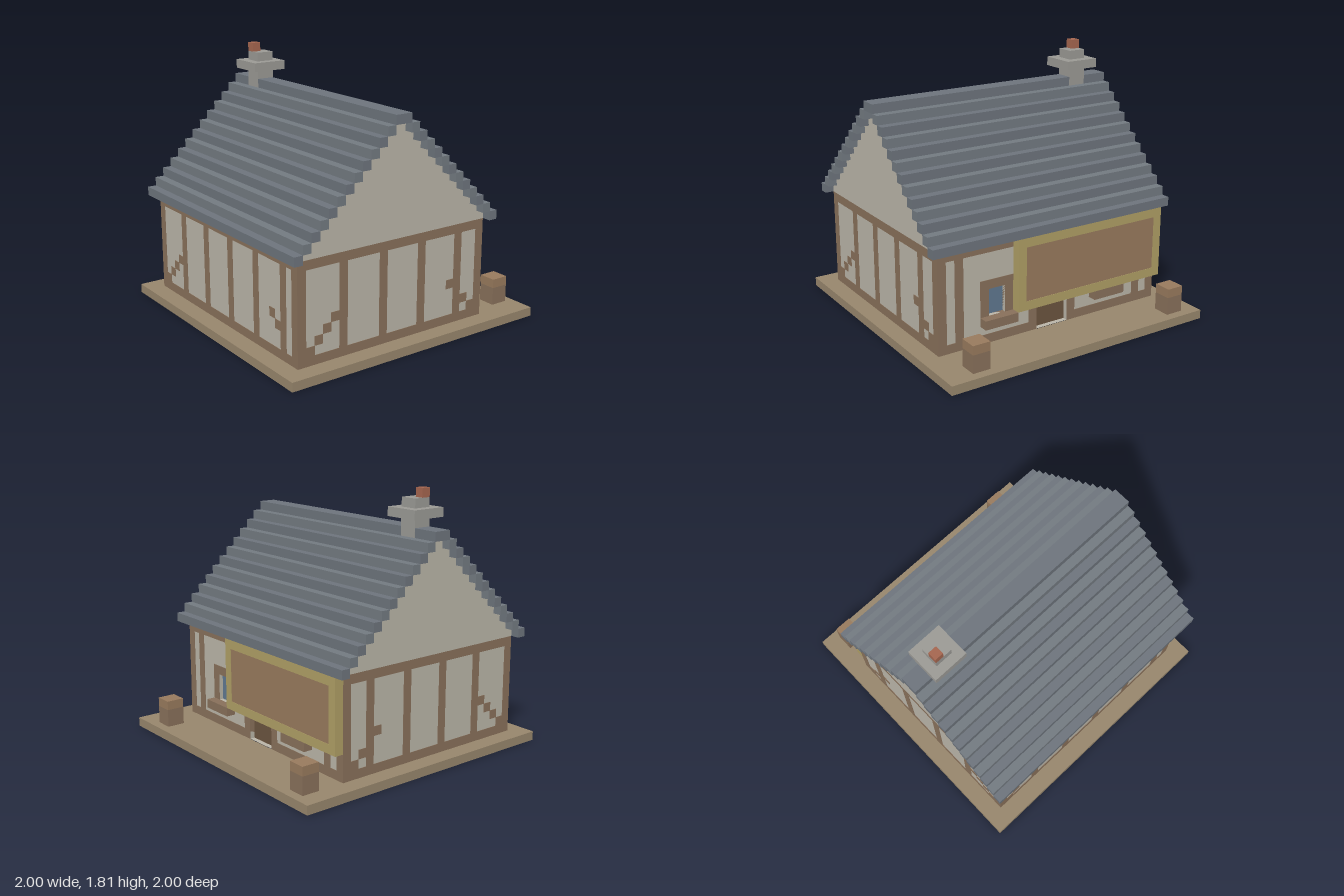
import * as THREE from 'three';

const V = 1 / 16; // one block
const mat = (color, side = THREE.FrontSide) => new THREE.MeshStandardMaterial({ color, side, flatShading: true });

export function createModel() {
  const house = new THREE.Group();
  house.name = 'house';
  const earth = mat(0x97866c, THREE.DoubleSide);
  const plaster = mat(0xbab5a8), timber = mat(0x88705a), dark = mat(0x6b543f);
  const slate = [mat(0x6d747c), mat(0x737a81)];
  const stone = mat(0x9b9a95), clay = mat(0xa5664f), gold = mat(0xaf9f65);
  const board = mat(0x987a5d), glass = mat(0x5f7890);

  const part = (name) => {
    const g = new THREE.Group();
    g.name = name;
    house.add(g);
    return g;
  };
  // Box between two corners, given in blocks
  const box = (parent, name, m, x0, x1, y0, y1, z0, z1) => {
    const mesh = new THREE.Mesh(new THREE.BoxGeometry((x1 - x0) * V, (y1 - y0) * V, (z1 - z0) * V), m);
    mesh.position.set((x0 + x1) * V / 2, (y0 + y1) * V / 2, (z0 + z1) * V / 2);
    mesh.name = name;
    parent.add(mesh);
  };
  const rect = (C, x0, x1, y0, y1) => new C([[x0, y0], [x1, y0], [x1, y1], [x0, y1]]
    .map(([x, y]) => new THREE.Vector2(x * V, y * V)));

  // Ground slab, open underneath, with the room floor inside the walls
  const ground = part('ground');
  const yard = rect(THREE.Shape, -16, 16, -16, 16);
  yard.holes.push(rect(THREE.Path, -14, 14, -14, 10));
  for (const [name, shape] of [['yard', yard], ['floor', rect(THREE.Shape, -13, 13, -13, 9)]]) {
    const mesh = new THREE.Mesh(new THREE.ShapeGeometry(shape).rotateX(-Math.PI / 2), earth);
    mesh.position.y = V;
    mesh.name = name;
    ground.add(mesh);
  }
  for (let i = 0; i < 4; i++) {
    const geo = new THREE.PlaneGeometry(2, V).translate(0, V / 2, 1).rotateY(i * Math.PI / 2);
    const mesh = new THREE.Mesh(geo, earth);
    mesh.name = 'slabEdge';
    ground.add(mesh);
  }

  // Corner posts
  const corners = part('cornerPosts');
  for (const x of [-14, 13]) for (const z of [-10, 13]) box(corners, 'cornerPost', timber, x, x + 1, 1, 12, z, z + 1);

  // Front wall: plaster, beams, posts and stepped braces
  const front = part('frontWall');
  box(front, 'plaster', plaster, -13, 13, 2, 11, 13.05, 13.95);
  for (const y of [1, 11]) box(front, 'beam', timber, -13, 13, y, y + 1, 13, 14);
  for (const x of [-9, -4, 1, 6, 11]) box(front, 'post', timber, x, x + 1, 2, 11, 13, 14);
  for (const [x, y] of [[-13, 2], [-12, 3], [-11, 4], [-10, 5], [9, 5], [10, 4]])
    box(front, 'brace', timber, x, x + 1, y, y + 1, 13, 14);

  // Side walls with stepped gables
  for (const s of [-1, 1]) {
    const wall = part(s > 0 ? 'leftWall' : 'rightWall');
    const x = s > 0 ? 13 : -14;
    box(wall, 'plaster', plaster, x + 0.05, x + 0.95, 2, 11, -9, 13);
    for (const y of [1, 11]) box(wall, 'beam', timber, x, x + 1, y, y + 1, -9, 13);
    for (const z of [8, 3, -2, -7]) box(wall, 'post', timber, x, x + 1, 2, 11, z, z + 1);
    for (const [z, y] of [[12, 2], [11, 3], [10, 4], [9, 5], [-6, 5], [-8, 3], [-9, 2]])
      box(wall, 'brace', timber, x, x + 1, y, y + 1, z, z + 1);
    for (let i = 0; i < 12; i++) box(wall, 'gable', plaster, x, x + 1, 12 + i, 13 + i, -10 + i, 14 - i);
  }

  // Back wall with a door and two windows
  const back = part('backWall');
  const sheet = rect(THREE.Shape, -13, 13, 1, 12);
  sheet.holes.push(rect(THREE.Path, -2, 2, 1.01, 9));
  for (const x of [-8, 6]) sheet.holes.push(rect(THREE.Path, x, x + 2, 4, 7));
  const sheetMesh = new THREE.Mesh(new THREE.ExtrudeGeometry(sheet, { depth: 0.9 * V, bevelEnabled: false }), plaster);
  sheetMesh.position.z = -9.95 * V;
  sheetMesh.name = 'plaster';
  back.add(sheetMesh);
  box(back, 'beam', timber, -13, 13, 11, 12, -10, -9);
  for (const s of [-1, 1]) {
    const span = (name, m, a, b, y0, y1, z0, z1) =>
      box(back, name, m, Math.min(s * a, s * b), Math.max(s * a, s * b), y0, y1, z0, z1);
    span('beam', timber, 2, 13, 1, 2, -10, -9);
    span('doorPost', timber, 2, 3, 2, 11, -10, -9);
    span('post', timber, 11, 12, 2, 11, -10, -9);
    span('windowFrame', timber, 5, 6, 4, 8, -10, -9);
    span('windowFrame', timber, 8, 9, 4, 8, -10, -9);
    span('windowFrame', timber, 6, 8, 7, 8, -10, -9);
    span('windowSill', timber, 5, 9, 3, 4, -11, -9);
    span('windowGlass', glass, 6, 8, 4, 7, -9.5, -9.1);
  }
  box(back, 'doorLintel', timber, -2, 2, 9, 10, -10, -9);
  box(back, 'door', dark, -2, 2, 1, 9, -9.4, -9);

  // Signboard above the door, left blank
  const sign = part('signboard');
  box(sign, 'panel', board, -13, 4, 5, 11, -10.96, -10);
  for (const y of [4, 11]) box(sign, 'border', gold, -14, 5, y, y + 1, -11, -10);
  for (const x of [-14, 4]) box(sign, 'border', gold, x, x + 1, 5, 11, -11, -10);

  // Stepped roof, one course per block of height
  const roof = part('roof');
  for (let i = 0; i < 13; i++) {
    box(roof, 'frontCourse', slate[i % 2], -15, 15, 12 + i, 13 + i, 14 - i, 15 - i);
    box(roof, 'backCourse', slate[i % 2], -15, 15, 12 + i, 13 + i, -11 + i, -10 + i);
  }

  // Chimney, running down to the floor
  const chimney = part('chimney');
  box(chimney, 'stack', stone, -12.03, -9.97, 1.02, 26, 0.97, 3.03);
  box(chimney, 'cap', stone, -13, -9, 26, 27, 0, 4);
  box(chimney, 'top', stone, -12, -10, 27, 28, 1, 3);
  box(chimney, 'pot', clay, -12, -11, 28, 29, 2, 3);

  // Crates in the back yard
  for (const x of [-14, 11]) {
    const crate = part('crate');
    box(crate, 'body', timber, x, x + 2, 1.02, 3, -15, -13);
    box(crate, 'lid', board, x, x + 2, 3, 4, -15, -13);
  }
  return house;
}
